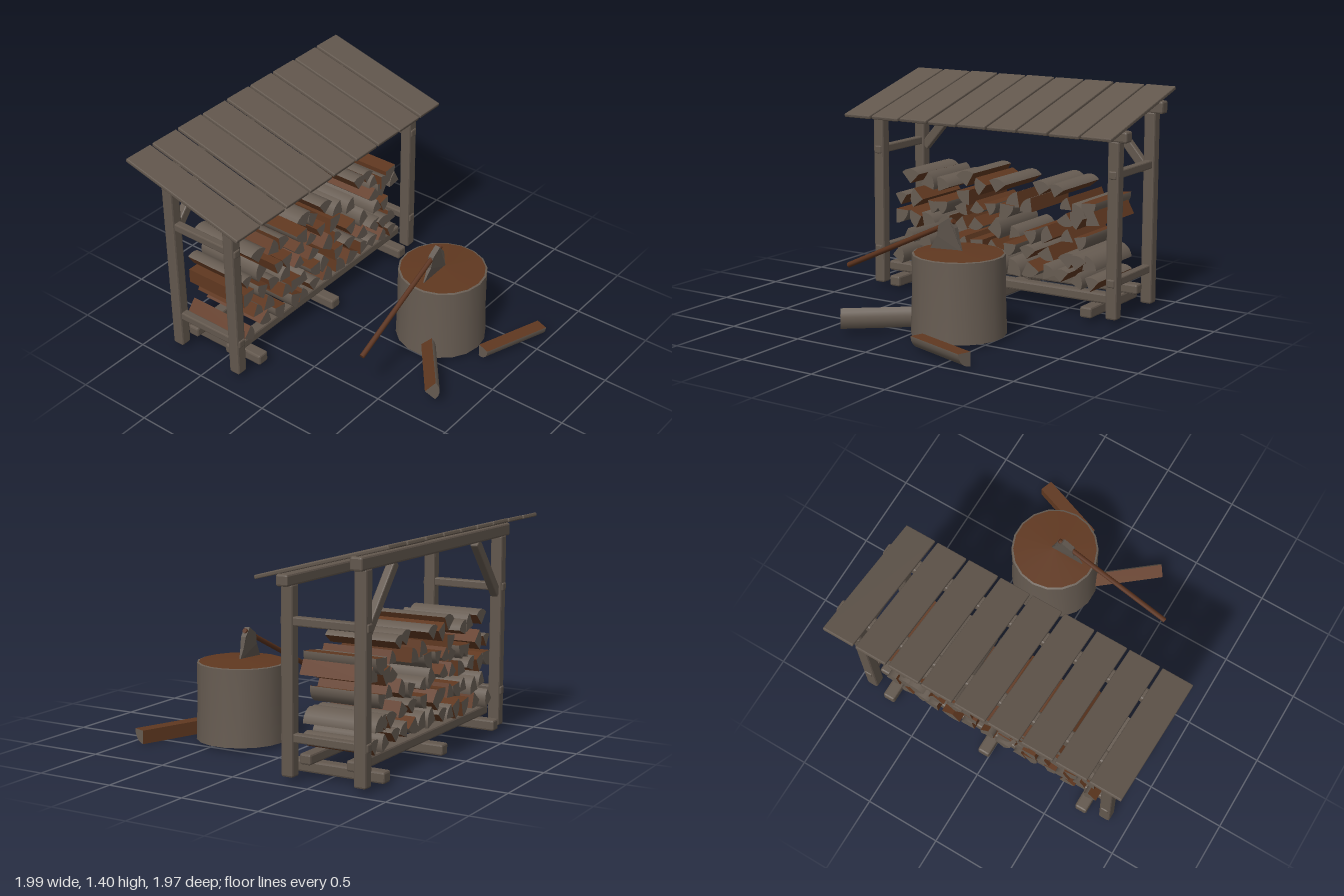
import * as THREE from 'three';
import { mergeGeometries } from 'three/addons/utils/BufferGeometryUtils.js';
import { RoundedBoxGeometry } from 'three/addons/geometries/RoundedBoxGeometry.js';

const mat = (name, color, flatShading = false) => {
  const m = new THREE.MeshStandardMaterial({ color, flatShading });
  m.name = name;
  return m;
};

export function createModel() {
  const model = new THREE.Group();
  model.name = 'woodshed';
  const timber = mat('weathered timber', 0x62574d, true);
  const bark = mat('bark', 0x675c52);
  const split = mat('split wood', 0x603820);
  const handleWood = mat('handle wood', 0x5a321d);
  const steel = mat('steel', 0x5e554d, true);

  let seed = 7;
  const rand = () => (seed = (seed * 16807) % 2147483647) / 2147483647;
  const vary = (amount) => (rand() - 0.5) * 2 * amount;

  const add = (name, geometry, material, x, y, z, parent = model) => {
    const mesh = new THREE.Mesh(geometry, material);
    mesh.name = name;
    mesh.position.set(x, y, z);
    parent.add(mesh);
    return mesh;
  };
  // Chamfered timber given by its extents
  const beam = (name, x0, x1, y0, y1, z0, z1, r = 0.012) =>
    add(name, new RoundedBoxGeometry(x1 - x0, y1 - y0, z1 - z0, 1, r), timber,
      (x0 + x1) / 2, (y0 + y1) / 2, (z0 + z1) / 2);

  // Frame: posts, through side rails and back braces, mirrored about the shed's middle
  const mid = 0.03;
  for (const side of [-1, 1]) {
    const x = mid + side * 0.872;
    beam('frontPost', x - 0.038, x + 0.038, 0.03, 1.14, -0.367, -0.29);
    beam('backPost', x - 0.038, x + 0.038, 0.03, 1.26, -0.84, -0.762);
    for (const y of [0.93, 0.26]) {
      beam('sideRail', x - 0.026, x + 0.026, y - 0.026, y + 0.026, -0.848, -0.282, 0.008);
    }
    const brace = add('backBrace', new RoundedBoxGeometry(0.062, 0.48, 0.05, 1, 0.008), timber,
      mid + side * 0.685, 1.07, -0.8);
    brace.rotation.z = side * 0.715;
  }
  beam('frontBeam', -0.93, 0.99, 1.13, 1.2, -0.368, -0.29);
  beam('backBeam', -0.93, 0.99, 1.25, 1.33, -0.84, -0.762);

  // Floor: three sleepers carrying two long rails
  for (const x of [-0.69, 0.03, 0.75]) beam('sleeper', x - 0.04, x + 0.04, 0.03, 0.1, -0.875, -0.25);
  beam('frontFloorRail', -0.82, 0.88, 0.1, 0.165, -0.45, -0.375);
  beam('backFloorRail', -0.82, 0.88, 0.1, 0.165, -0.758, -0.683);

  // Sloping roof planks
  for (let i = 0; i < 9; i++) {
    const plank = add('roofPlank', new RoundedBoxGeometry(0.204, 0.024, 0.884, 1, 0.006), timber,
      -0.897 + i * 0.2205, 1.278 + vary(0.003), -0.5625);
    plank.rotation.x = 0.257;
    plank.rotation.z = vary(0.006);
  }

  // Split log: a cylinder sector along z, its apex on the axis and its bark towards +x
  function splitLog(name, radius, angle, length, x, y, z, roll, turn = 0) {
    const log = new THREE.Group();
    log.name = name;
    const lay = (g) => g.rotateX(Math.PI / 2).rotateZ(Math.PI / 2 - angle / 2);
    const faces = mergeGeometries([
      new THREE.PlaneGeometry(radius, length).translate(radius / 2, 0, 0).rotateY(-Math.PI / 2),
      new THREE.PlaneGeometry(radius, length).translate(-radius / 2, 0, 0).rotateY(Math.PI / 2 + angle),
    ]);
    add('logBark', lay(new THREE.CylinderGeometry(radius, radius, length, 5, 1, false, 0, angle)), bark, 0, 0, 0, log);
    add('logSplitFaces', lay(faces), split, 0, 0, 0, log);
    log.position.set(x, y, z);
    log.rotation.set(0, turn, roll);
    model.add(log);
  }

  // Stacked firewood, row by row: height, then x of each log
  const rows = [
    [0.79, -0.61, -0.18, 0.05, 0.38, 0.48],
    [0.74, -0.47, -0.37, -0.08],
    [0.68, -0.19, 0.17, 0.28, 0.55, 0.64, 0.71],
    [0.61, -0.70, -0.58, -0.43, -0.36, -0.21, -0.10, 0.0, 0.12, 0.55, 0.63, 0.75],
    [0.49, -0.70, -0.58, -0.48, -0.35, -0.22, -0.10, 0.05, 0.17, 0.30, 0.42, 0.57, 0.66],
    [0.36, -0.63, -0.51, -0.37, -0.28, -0.20, -0.08, 0.02, 0.15, 0.28, 0.42, 0.57, 0.64, 0.72],
    [0.24, -0.71, -0.54, -0.42, -0.28, -0.20, -0.08, 0.05, 0.18, 0.30, 0.43, 0.52, 0.64, 0.74],
  ];
  rows.forEach(([y, ...xs], row) => xs.forEach((x) => {
    const radius = 0.092 + vary(0.01);
    // The top row lies bark up, the others any way round
    const roll = row === 0 ? Math.PI / 2 + vary(0.5) : rand() * Math.PI * 2;
    splitLog('stackedLog', radius, 1.35 + vary(0.25), 0.46 + vary(0.015),
      x - Math.cos(roll) * radius * 0.58, y + vary(0.018) - Math.sin(roll) * radius * 0.58,
      -0.565 + vary(0.01), roll);
  }));

  // Loose logs beside the chopping block
  splitLog('looseLogLeft', 0.09, Math.PI / 2, 0.475, -0.185, 0.107, 0.605, 0, -0.89);
  splitLog('looseLogFront', 0.086, Math.PI / 2, 0.46, 0.44, 0.088, 0.8225, -Math.PI * 0.75, 1.225);

  // Chopping block: bark side and base, slightly domed cut top
  const blockX = 0.263, blockZ = 0.42;
  add('choppingBlock', new THREE.LatheGeometry(
    [[0, 0.025], [0.288, 0.025], [0.288, 0.025], [0.28, 0.27], [0.28, 0.51], [0.28, 0.51], [0.268, 0.514]]
      .map(([r, y]) => new THREE.Vector2(r, y)), 18), bark, blockX, 0, blockZ);
  add('choppingBlockTop', new THREE.ConeGeometry(0.27, 0.014, 18, 1, true), split, blockX, 0.52, blockZ);

  // Axe stuck in the block
  const handle = add('axeHandle', new THREE.CylinderGeometry(0.016, 0.017, 0.87, 8), handleWood, -0.163, 0.513, 0.42);
  handle.rotation.z = Math.atan2(0.37, 0.79) - Math.PI / 2;
  const outline = [[0.13, 0.67], [0.2, 0.715], [0.245, 0.66], [0.262, 0.59], [0.29, 0.515], [0.06, 0.515], [0.115, 0.6]];
  const head = new THREE.ExtrudeGeometry(new THREE.Shape(outline.map(([x, y]) => new THREE.Vector2(x, y))),
    { depth: 0.036, bevelEnabled: false }).translate(0, 0, -0.018);
  const p = head.attributes.position;
  // Taper the head to its cutting edge
  for (let i = 0; i < p.count; i++) {
    p.setZ(i, p.getZ(i) * THREE.MathUtils.clamp((p.getY(i) - 0.5) / 0.13, 0.15, 1));
  }
  head.computeVertexNormals();
  add('axeHead', head, steel, 0, 0, 0.42);

  return model;
}
